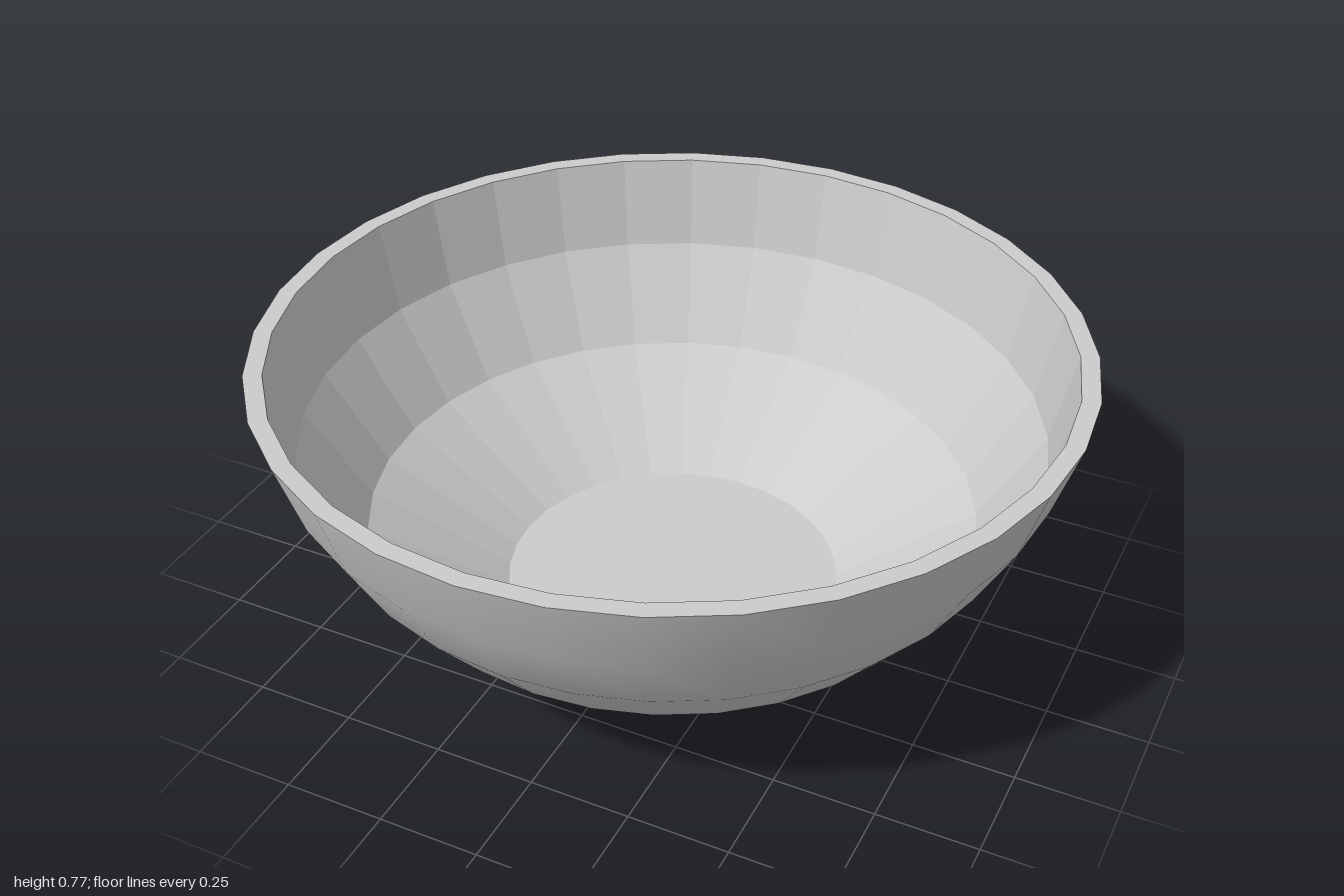
import * as THREE from 'three';

const SIDES = 32;

// Revolves a profile of [radius, height] points; the outside lies to the right of its direction.
function turned(name, profile, flatShading = false) {
  const points = profile.map(([r, y]) => new THREE.Vector2(r, y));
  const material = new THREE.MeshStandardMaterial({ color: 0xcccccc, flatShading });
  const mesh = new THREE.Mesh(new THREE.LatheGeometry(points, SIDES), material);
  mesh.name = name;
  return mesh;
}

export function createModel() {
  const bowl = new THREE.Group();
  bowl.name = 'bowl';

  // Smooth outer wall, from the foot up to the rim
  bowl.add(turned('outerWall', [
    [0.39, 0.024], [0.565, 0.123], [0.72, 0.25], [0.848, 0.407], [0.94, 0.578], [1, 0.767],
  ]));

  // Flat rim
  bowl.add(turned('rim', [[1, 0.767], [0.955, 0.767]], true));

  // Faceted inner wall and flat floor, from the rim down to the centre
  bowl.add(turned('innerWall', [
    [0.955, 0.767], [0.905, 0.535], [0.755, 0.3], [0.418, 0.09],
  ], true));
  bowl.add(turned('floor', [[0.418, 0.09], [0, 0.09]], true));

  // Foot ring with a shallow recess underneath
  const foot = new THREE.Group();
  foot.name = 'foot';
  foot.add(
    turned('footOuterWall', [[0.39, 0], [0.39, 0.024]]),
    turned('footUnderside', [[0.345, 0], [0.39, 0]]),
    turned('footInnerWall', [[0.345, 0.02], [0.345, 0]]),
    turned('footRecess', [[0, 0.02], [0.345, 0.02]], true),
  );
  bowl.add(foot);

  return bowl;
}
